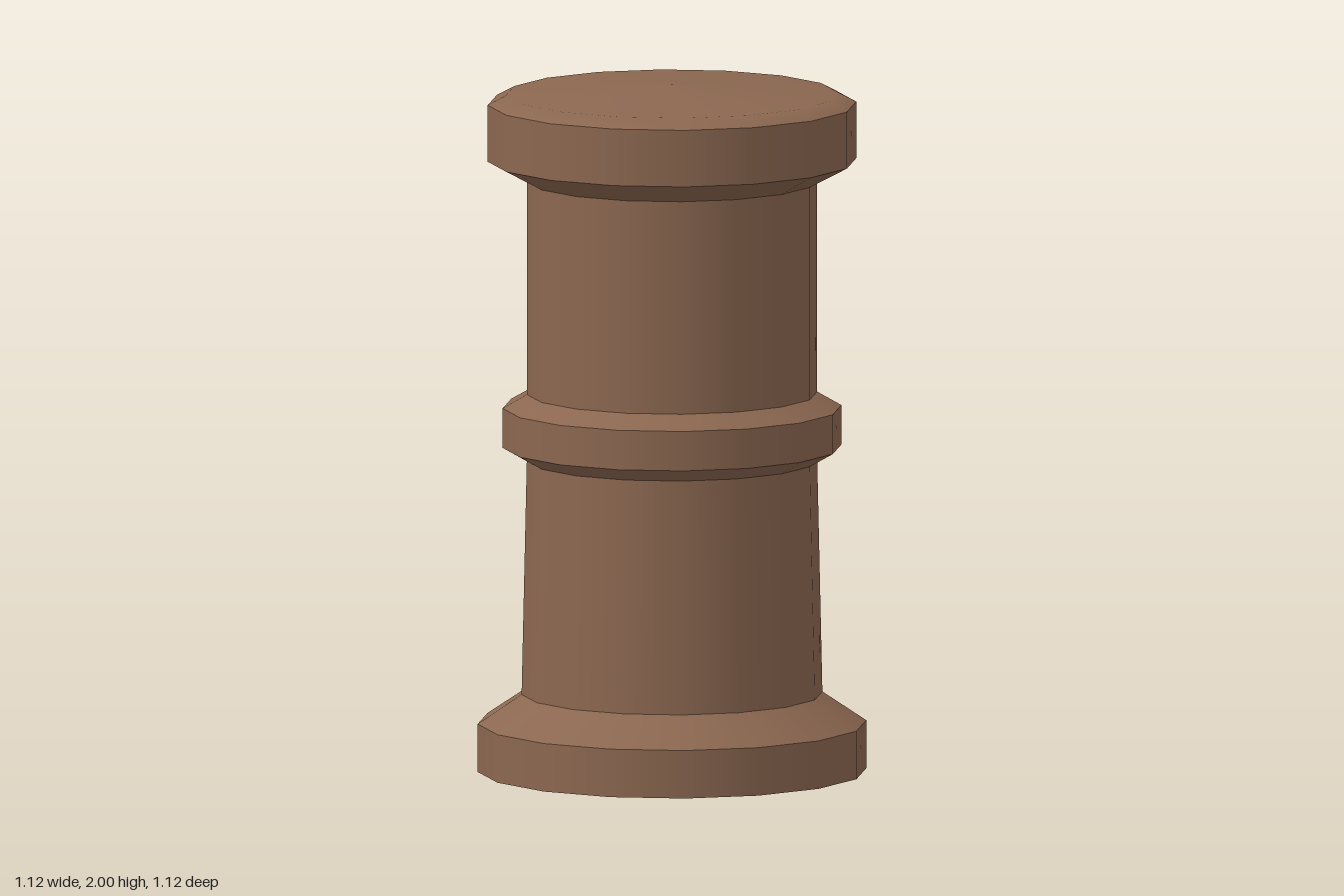
import * as THREE from 'three';

const SIDES = 16;

export function createModel() {
  const group = new THREE.Group();
  group.name = 'turnedPost';
  const wood = new THREE.MeshStandardMaterial({ color: 0x8b6750, side: THREE.DoubleSide });
  wood.name = 'brown wood';

  // One smooth turned band; separate bands keep the edges between them sharp
  const band = (part, name, points) => {
    const profile = points.map(([r, y]) => new THREE.Vector2(r, y));
    const mesh = new THREE.Mesh(new THREE.LatheGeometry(profile, SIDES), wood);
    mesh.name = name;
    part.add(mesh);
  };

  const addPart = (name, bands) => {
    const part = new THREE.Group();
    part.name = name;
    for (const [bandName, points] of bands) band(part, bandName, points);
    group.add(part);
  };

  // Foot, open underneath
  addPart('base', [
    ['basePlinth', [[0.562, 0], [0.562, 0.14]]],
    ['baseSlope', [[0.562, 0.14], [0.435, 0.225]]],
  ]);

  // Slightly tapered lower shaft
  addPart('lowerShaft', [['lowerShaftWall', [[0.435, 0.225], [0.42, 0.905]]]]);

  // Raised ring around the middle
  addPart('middleRing', [
    ['ringUnderside', [[0.42, 0.905], [0.49, 0.945]]],
    ['ringRim', [[0.49, 0.945], [0.49, 1.06]]],
    ['ringTop', [[0.49, 1.06], [0.42, 1.1]]],
  ]);

  addPart('upperShaft', [['upperShaftWall', [[0.42, 1.1], [0.42, 1.72]]]]);

  // Wide cap with a shallow domed top
  addPart('cap', [
    ['capUnderside', [[0.42, 1.72], [0.533, 1.78]]],
    ['capRim', [[0.533, 1.78], [0.533, 1.945]]],
    ['capDome', [[0.533, 1.945], [0.48, 1.973], [0, 2]]],
  ]);

  return group;
}
